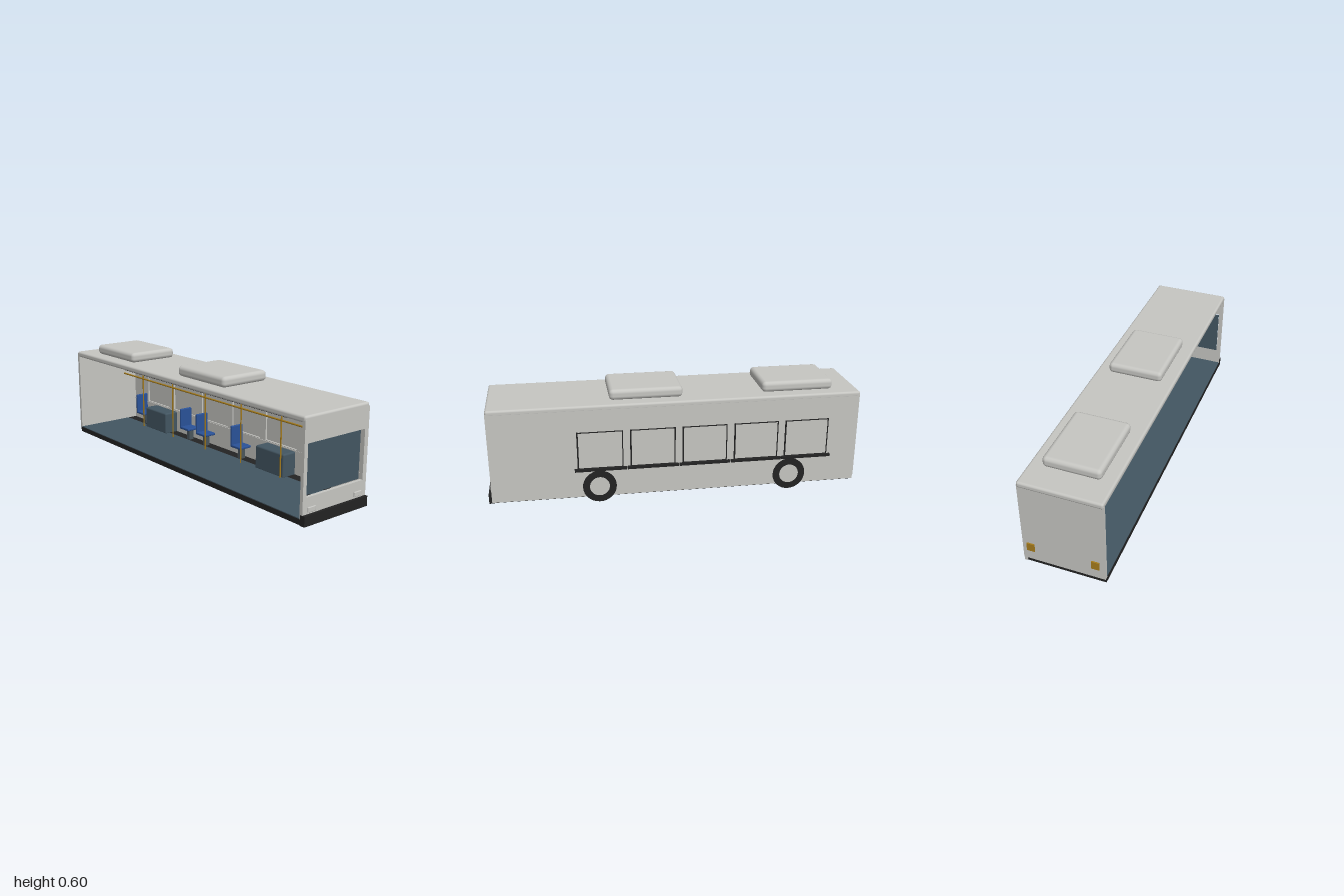
import * as THREE from 'three';
import { RoundedBoxGeometry } from 'three/addons/geometries/RoundedBoxGeometry.js';

const mat = (name, color) => {
  const m = new THREE.MeshStandardMaterial({ color });
  m.name = name;
  return m;
};

export function createModel() {
  const bus = new THREE.Group();
  bus.name = 'cutawayBus';
  const paint = mat('body grey', 0xc6c6c2);
  const slate = mat('slate blue', 0x435662);
  const black = mat('black', 0x232323);
  const blue = mat('seat blue', 0x2a5298);
  const gold = mat('rail gold', 0xa67c1c);
  const steel = mat('dark steel', 0x4a555c);

  const add = (name, geo, m, parent = bus) => {
    const mesh = new THREE.Mesh(geo, m);
    mesh.name = name;
    parent.add(mesh);
    return mesh;
  };
  // Box given by its limits on each axis, optionally with rounded edges
  const box = (name, m, [x0, x1], [y0, y1], [z0, z1], r = 0, parent = bus) => {
    const s = [x1 - x0, y1 - y0, z1 - z0];
    const geo = r ? new RoundedBoxGeometry(...s, 2, r) : new THREE.BoxGeometry(...s);
    const mesh = add(name, geo, m, parent);
    mesh.position.set((x0 + x1) / 2, (y0 + y1) / 2, (z0 + z1) / 2);
    return mesh;
  };
  const rect = (Type, x0, x1, y0, y1) => {
    const p = new Type();
    p.moveTo(x0, y0);
    p.lineTo(x1, y0);
    p.lineTo(x1, y1);
    p.lineTo(x0, y1);
    p.closePath();
    return p;
  };
  const panel = (shape, depth) => new THREE.ExtrudeGeometry(shape, { depth, bevelEnabled: false });

  // Chassis, floor covering and front bumper
  box('chassis', black, [-0.985, 0.985], [0.034, 0.062], [-0.204, 0.222]);
  box('floorCovering', slate, [-0.975, 0.967], [0.062, 0.066], [-0.13, 0.221]);
  box('floorEdgeStrip', black, [-0.975, 0.967], [0.062, 0.066], [-0.19, -0.13]);
  box('frontBumper', black, [0.972, 1.0], [0.032, 0.084], [-0.205, 0.223]);

  // Side wall with five windows
  const windows = [-0.707, -0.428, -0.148, 0.131, 0.41];
  const side = rect(THREE.Shape, -0.99, 0.985, 0.036, 0.53);
  for (const x of windows) side.holes.push(rect(THREE.Path, x - 0.118, x + 0.118, 0.2, 0.402));
  add('sideWall', panel(side, 0.015), paint).position.z = -0.2055;
  box('wallLiningLower', paint, [-0.972, 0.965], [0.064, 0.195], [-0.191, -0.187]);

  windows.forEach((x) => {
    const g = new THREE.Group();
    g.name = 'sideWindow';
    bus.add(g);
    box('windowPane', paint, [x - 0.118, x + 0.118], [0.2, 0.402], [-0.205, -0.2], 0, g);
    const frame = rect(THREE.Shape, x - 0.121, x + 0.121, 0.197, 0.405);
    frame.holes.push(rect(THREE.Path, x - 0.116, x + 0.116, 0.202, 0.4));
    add('windowFrame', panel(frame, 0.004), black, g).position.z = -0.208;
    box('windowFrontEdge', black, [x + 0.113, x + 0.121], [0.197, 0.407], [-0.209, -0.204], 0, g);
    box('windowSill', black, [x - 0.137, x + 0.137], [0.187, 0.2], [-0.222, -0.204], 0, g);
  });

  // Rear wall, front wall with windscreen opening, roof
  box('rearWall', paint, [-0.993, -0.975], [0.06, 0.53], [-0.205, 0.222]);
  const front = rect(THREE.Shape, -0.205, 0.222, 0.06, 0.53);
  front.holes.push(rect(THREE.Path, -0.18, 0.2, 0.166, 0.421));
  const frontWall = add('frontWall', panel(front, 0.018), paint);
  frontWall.rotation.y = -Math.PI / 2;
  frontWall.position.x = 0.985;
  box('windscreen', slate, [0.953, 0.959], [0.165, 0.422], [-0.181, 0.201]);
  box('roof', paint, [-0.997, 0.985], [0.515, 0.548], [-0.206, 0.223], 0.012);
  for (const x of [-0.665, 0.155]) {
    box('roofUnit', paint, [x - 0.195, x + 0.195], [0.545, 0.603], [-0.14, 0.157], 0.022);
  }

  // Lamps
  for (const z of [-0.147, 0.165]) {
    box('headlamp', paint, [0.98, 0.991], [0.092, 0.117], [z - 0.025, z + 0.025], 0.003);
  }
  for (const z of [-0.162, 0.172]) {
    box('rearLamp', gold, [-1.0, -0.99], [0.12, 0.166], [z - 0.02, z + 0.02]);
  }

  // Wheels and the wheel boxes inside
  for (const x of [-0.62, 0.418]) {
    const wheel = new THREE.Group();
    wheel.name = 'wheel';
    wheel.position.set(x, 0.092, -0.182);
    bus.add(wheel);
    add('tyre', new THREE.CylinderGeometry(0.09, 0.09, 0.051, 32), black, wheel).rotation.x = Math.PI / 2;
    const hub = add('hub', new THREE.CylinderGeometry(0.053, 0.053, 0.01, 32), paint, wheel);
    hub.rotation.x = Math.PI / 2;
    hub.position.z = -0.022;
    box('wheelBox', slate, [x - 0.109, x + 0.109], [0.06, 0.192], [-0.19, -0.1], 0.01);
  }

  // Seats facing forward
  for (const x of [-0.842, -0.376, -0.22, 0.095]) {
    const seat = new THREE.Group();
    seat.name = 'seat';
    seat.position.x = x;
    bus.add(seat);
    box('seatCushion', blue, [0.002, 0.086], [0.128, 0.143], [-0.186, -0.105], 0.005, seat);
    box('seatBack', blue, [0, 0.015], [0.13, 0.25], [-0.186, -0.105], 0.005, seat);
    box('seatPedestal', steel, [0.032, 0.06], [0.062, 0.13], [-0.165, -0.135], 0, seat);
  }

  // Grab poles and rails
  for (let i = 0; i < 5; i++) {
    add('grabPole', new THREE.CylinderGeometry(0.004, 0.004, 0.452, 10), gold)
      .position.set(-0.735 + i * 0.3125, 0.29, -0.09);
  }
  const rail = (name, m, x0, x1, y, z, r) => {
    const mesh = add(name, new THREE.CylinderGeometry(r, r, x1 - x0, 10), m);
    mesh.rotation.z = Math.PI / 2;
    mesh.position.set((x0 + x1) / 2, y, z);
  };
  rail('grabRail', gold, -0.95, 0.93, 0.375, -0.09, 0.005);
  rail('upperCord', black, -0.95, 0.55, 0.395, -0.1, 0.0025);

  // Driver area: fare machine, dash box, column and mirror
  box('farePost', black, [0.826, 0.84], [0.062, 0.2], [0.02, 0.034]);
  box('fareMachine', black, [0.813, 0.853], [0.19, 0.25], [0.01, 0.04]);
  box('fareScreen', paint, [0.82, 0.846], [0.21, 0.238], [0.04, 0.043]);
  box('dashBox', black, [0.812, 0.895], [0.13, 0.257], [-0.15, -0.08], 0.006);
  rail('dashArm', black, 0.89, 0.957, 0.25, -0.105, 0.003);
  box('interiorMirror', black, [0.56, 0.566], [0.43, 0.49], [-0.187, -0.15]);

  return bus;
}
